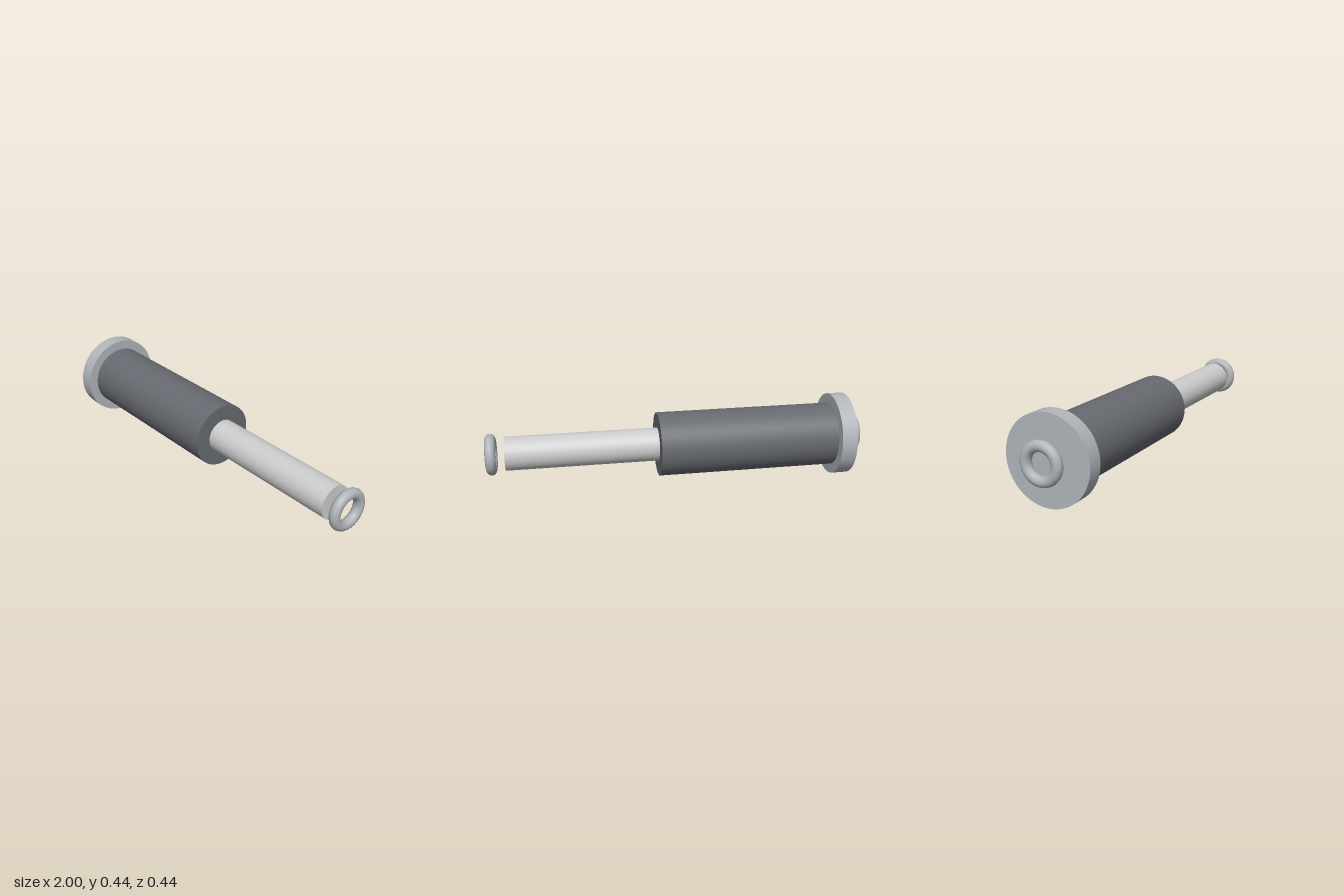
import * as THREE from 'three';

const AXIS_Y = 0.22;

export function createModel() {
  const group = new THREE.Group();
  const paint = (color) => new THREE.MeshStandardMaterial({ color });
  const steel = paint(0xb0b5ba);
  const darkGrey = paint(0x66696f);
  const chrome = paint(0xe6e6e8);

  const add = (name, geometry, material, x) => {
    const mesh = new THREE.Mesh(geometry, material);
    mesh.name = name;
    mesh.position.set(x, AXIS_Y, 0);
    group.add(mesh);
  };

  // Solid cylinder lying along x between two stations
  const barrel = (name, radius, x0, x1, material) => {
    const geometry = new THREE.CylinderGeometry(radius, radius, x1 - x0, 64);
    geometry.rotateZ(-Math.PI / 2);
    add(name, geometry, material, (x0 + x1) / 2);
  };

  barrel('endCap', 0.22, -0.932, -0.849, steel);
  barrel('cylinderBody', 0.169, -0.849, 0.105, darkGrey);
  barrel('pistonRod', 0.088, 0.105, 0.902, chrome);

  // Mounting eyes, one beyond each end
  for (const [name, x] of [['capEye', -0.973], ['rodEye', 0.973]]) {
    const ring = new THREE.TorusGeometry(0.081, 0.027, 12, 48);
    ring.rotateY(Math.PI / 2);
    add(name, ring, steel, x);
  }

  return group;
}
